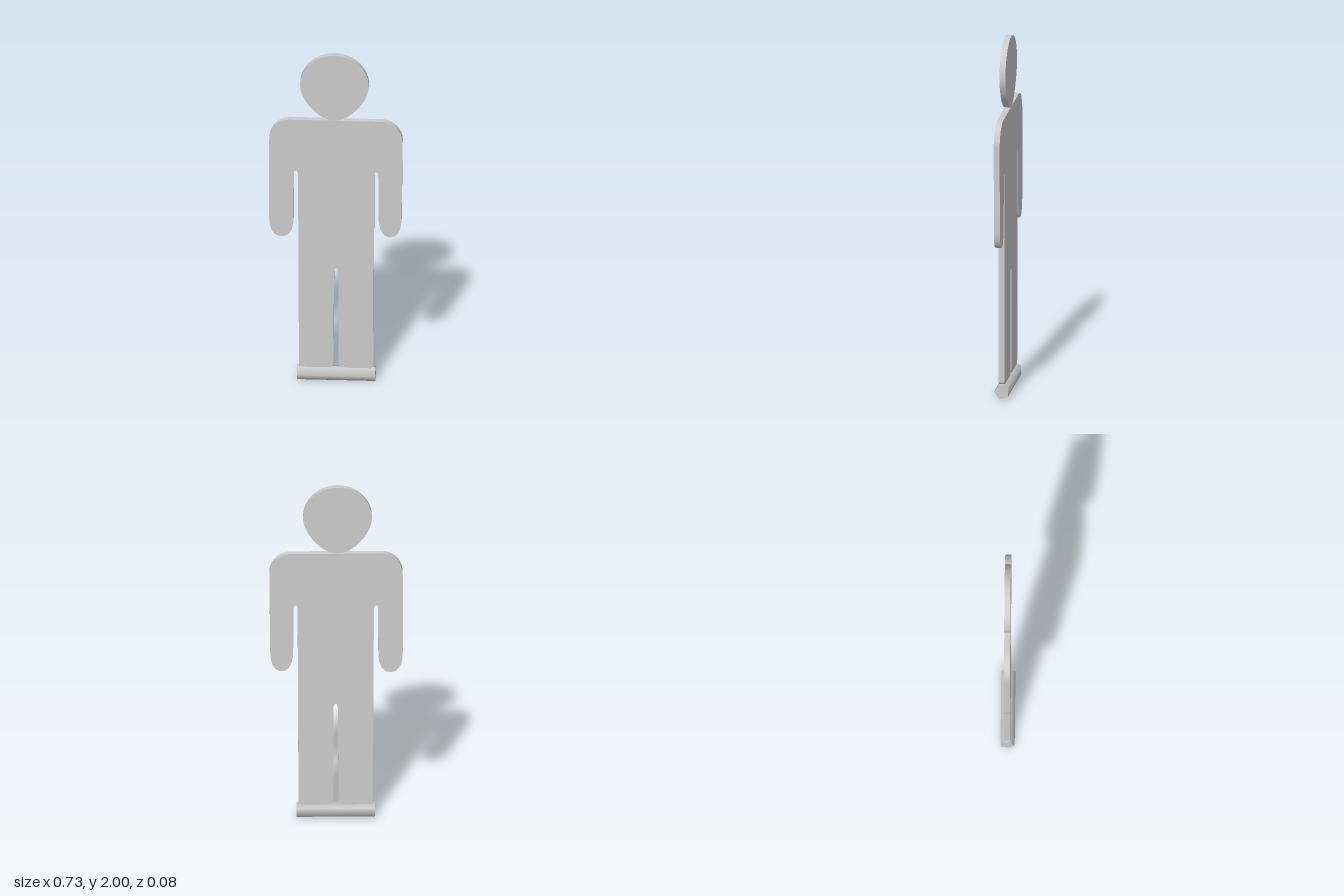
import * as THREE from 'three';

const BACK = -0.02, THICK = 0.033;

export function createModel() {
  const group = new THREE.Group();
  const material = new THREE.MeshStandardMaterial({ color: 0xcccccc });
  const add = (name, geometry) => {
    const mesh = new THREE.Mesh(geometry, material);
    mesh.name = name;
    group.add(mesh);
    return mesh;
  };
  // Flat plate cut from an outline
  const plate = (shape) => new THREE.ExtrudeGeometry(shape, {
    depth: THICK, bevelEnabled: false, curveSegments: 20,
  }).translate(0, 0, BACK);

  // Egg-shaped head, narrower towards the neck
  const head = new THREE.Shape();
  head.moveTo(-0.01, 1.6);
  head.bezierCurveTo(0.07, 1.6, 0.177, 1.72, 0.177, 1.815);
  head.bezierCurveTo(0.177, 1.917, 0.093, 2, -0.01, 2);
  head.bezierCurveTo(-0.113, 2, -0.197, 1.917, -0.197, 1.815);
  head.bezierCurveTo(-0.197, 1.72, -0.09, 1.6, -0.01, 1.6);
  add('head', plate(head));

  // Torso, arms and legs in one outline, counter-clockwise from the right foot
  const body = new THREE.Shape();
  body.moveTo(-0.185, 0.08);
  body.lineTo(-0.035, 0.08);
  body.quadraticCurveTo(-0.016, 0.08, -0.016, 0.12);
  // gap between the legs
  body.lineTo(-0.012, 0.66);
  body.bezierCurveTo(-0.011, 0.7, 0.012, 0.7, 0.012, 0.66);
  body.lineTo(0.012, 0.13);
  body.quadraticCurveTo(0.014, 0.08, 0.035, 0.08);
  body.lineTo(0.185, 0.08);
  body.quadraticCurveTo(0.202, 0.08, 0.202, 0.105);
  // left side and armpit
  body.lineTo(0.207, 1.27);
  body.bezierCurveTo(0.207, 1.295, 0.229, 1.295, 0.229, 1.265);
  // left arm
  body.lineTo(0.231, 1.0);
  body.bezierCurveTo(0.233, 0.93, 0.258, 0.89, 0.292, 0.89);
  body.bezierCurveTo(0.33, 0.89, 0.354, 0.93, 0.356, 1.0);
  body.lineTo(0.361, 1.48);
  body.bezierCurveTo(0.361, 1.54, 0.31, 1.6, 0.245, 1.6);
  // shoulders and right arm
  body.lineTo(-0.25, 1.6);
  body.bezierCurveTo(-0.32, 1.6, -0.365, 1.54, -0.365, 1.47);
  body.lineTo(-0.365, 1.0);
  body.bezierCurveTo(-0.365, 0.92, -0.34, 0.882, -0.3, 0.882);
  body.bezierCurveTo(-0.255, 0.882, -0.233, 0.92, -0.232, 1.0);
  body.lineTo(-0.231, 1.265);
  body.bezierCurveTo(-0.231, 1.295, -0.208, 1.295, -0.208, 1.26);
  // right side
  body.lineTo(-0.203, 0.105);
  body.quadraticCurveTo(-0.203, 0.08, -0.185, 0.08);
  add('body', plate(body));

  // Five-sided foot bar lying along x
  const bar = add('footBar', new THREE.CylinderGeometry(0.0427, 0.0427, 0.426, 5).rotateZ(Math.PI / 2));
  bar.position.set(0, 0.0406, -0.0055);

  return group;
}
